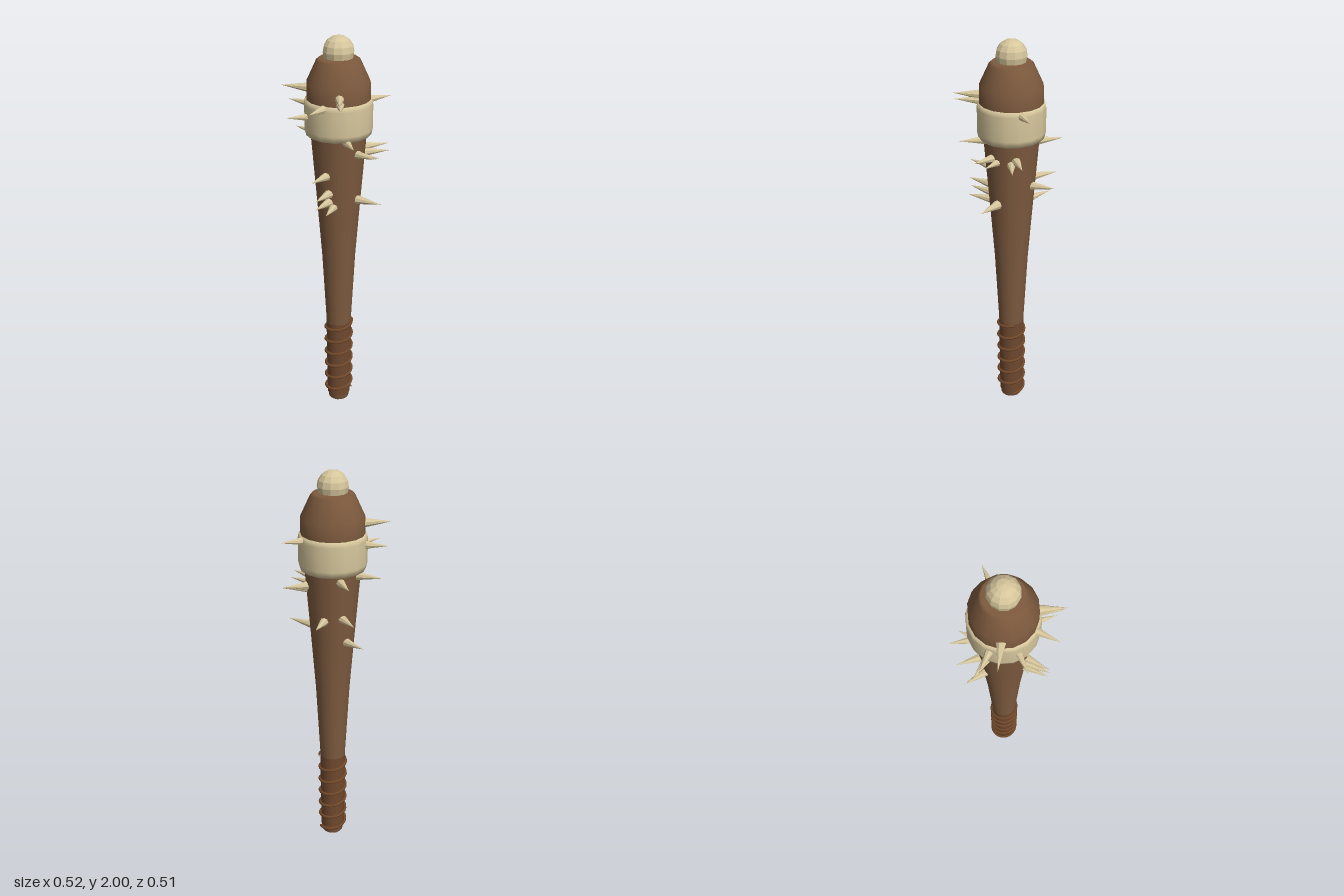
import * as THREE from 'three';

const wood = new THREE.MeshStandardMaterial({ color: 0x7d5a3e });
wood.name = 'wood';
const gripWood = new THREE.MeshStandardMaterial({ color: 0x70492f });
gripWood.name = 'gripLeather';
const cord = new THREE.MeshStandardMaterial({ color: 0x744a2a });
cord.name = 'cord';
const bone = new THREE.MeshStandardMaterial({ color: 0xd6c69c });
bone.name = 'bone';
const boneFlat = bone;

function add(parent, name, geometry, material) {
  const mesh = new THREE.Mesh(geometry, material);
  mesh.name = name;
  parent.add(mesh);
  return mesh;
}

function lathe(points, segments = 16) {
  return new THREE.LatheGeometry(points.map(([r, y]) => new THREE.Vector2(r, y)), segments);
}

// Unshared vertices give each facet its own normal
function faceted(geometry) {
  const g = geometry.toNonIndexed();
  g.computeVertexNormals();
  return g;
}

// Spiral cord rising counterclockwise around the grip
class Spiral extends THREE.Curve {
  getPoint(t, target = new THREE.Vector3()) {
    const a = -t * Math.PI * 2 * 6;
    return target.set(0.069 * Math.cos(a), 0.03 + 0.465 * t, 0.069 * Math.sin(a));
  }
}

// Spike tips: x, y, z
const tips = [
  [-0.255, 1.765, -0.10], [-0.258, 1.645, 0.03], [-0.21, 1.675, -0.17],
  [-0.175, 1.53, -0.19], [-0.075, 1.2, -0.22], [-0.018, 1.33, -0.24],
  [0.015, 1.52, -0.255], [0.15, 1.32, -0.185], [0.258, 1.7, -0.03],
  [0.242, 1.475, 0], [0.235, 1.455, 0.045], [0.16, 1.235, 0.178],
  [0.155, 1.46, 0.152], [0.122, 1.475, 0.2], [0.008, 1.545, 0.245],
  [-0.06, 1.755, 0.255], [-0.054, 1.728, 0.25], [-0.11, 1.21, 0.19],
  [-0.18, 1.705, 0.19], [-0.17, 1.37, 0.163], [-0.155, 1.28, 0.175],
  [-0.155, 1.235, 0.168],
];

export function createModel() {
  const club = new THREE.Group();
  club.name = 'spikedClub';

  // Shaft and head, centred slightly off the spikes' bounds
  const body = new THREE.Group();
  body.name = 'clubBody';
  body.position.set(-0.003, 0, -0.006);
  club.add(body);
  add(body, 'shaft', lathe([
    [0, 0], [0.055, 0], [0.06, 0.25], [0.065, 0.5], [0.085, 0.9],
    [0.107, 1.2], [0.134, 1.55], [0.15, 1.7], [0.149, 1.79], [0.102, 1.89], [0.09, 1.9], [0, 1.9],
  ]), wood);

  // Grip sleeve and its cord
  add(body, 'grip', new THREE.CylinderGeometry(0.066, 0.062, 0.47, 16), gripWood).position.y = 0.265;
  add(body, 'gripCord', new THREE.TubeGeometry(new Spiral(), 160, 0.008, 6), cord);

  // Bone band and end knob
  add(body, 'boneBand', lathe([
    [0.12, 1.545], [0.155, 1.545], [0.162, 1.575], [0.162, 1.69], [0.157, 1.712], [0.14, 1.712],
  ]), bone);
  const knob = add(body, 'knob', faceted(new THREE.SphereGeometry(0.073, 12, 8)), boneFlat);
  knob.position.y = 1.927;

  // Spikes point outward from the axis
  const length = 0.135;
  const spike = faceted(new THREE.ConeGeometry(0.023, length, 8).translate(0, -length / 2, 0));
  const up = new THREE.Vector3(0, 1, 0);
  for (const [x, y, z] of tips) {
    const mesh = add(club, 'spike', spike, boneFlat);
    mesh.position.set(x, y, z);
    mesh.quaternion.setFromUnitVectors(up, new THREE.Vector3(x, 0.015, z).normalize());
  }
  return club;
}
